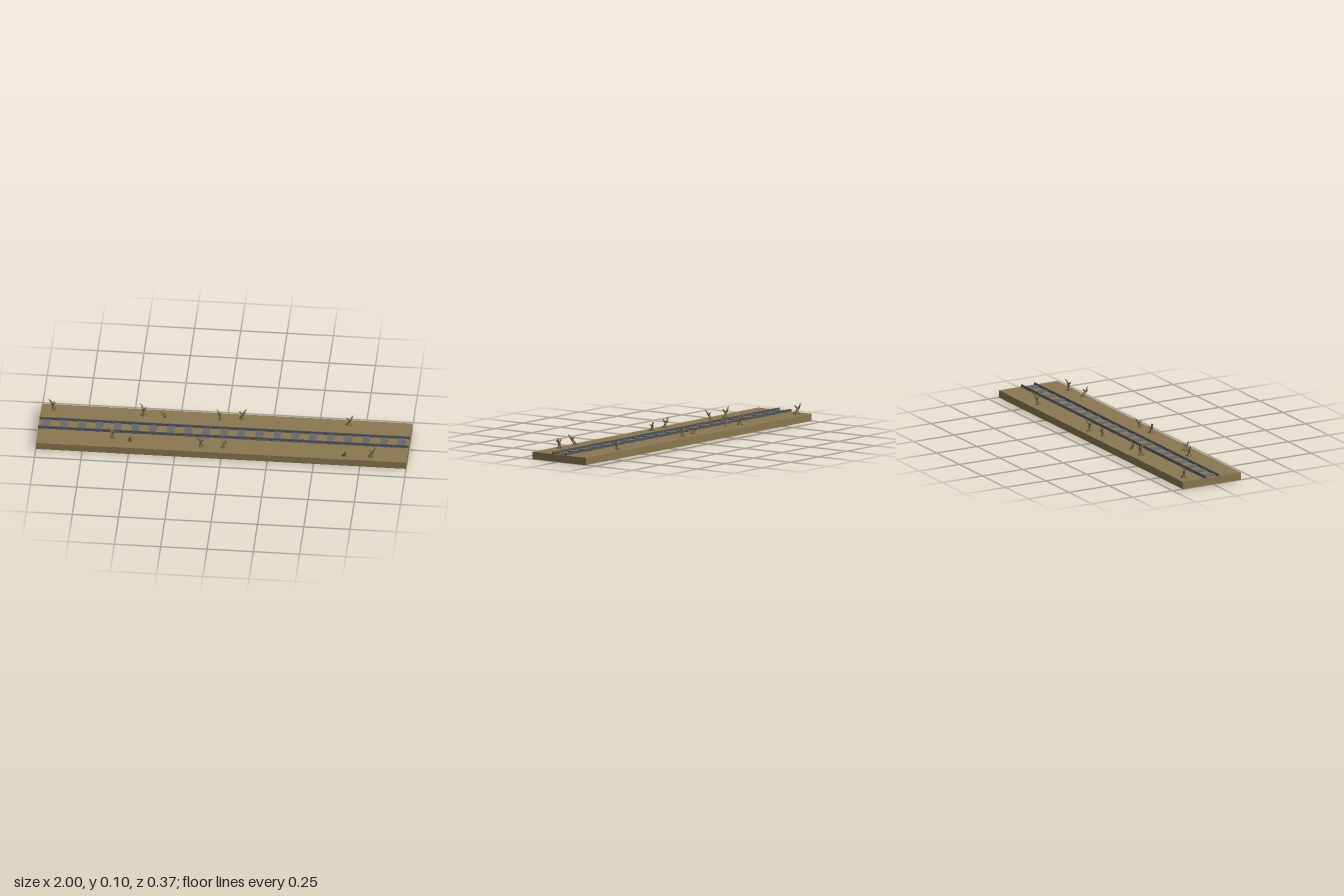
import * as THREE from 'three';

const mat = (color) => new THREE.MeshStandardMaterial({ color, flatShading: true, side: THREE.DoubleSide });
const earth = mat(0x8b7750), steel = mat(0x4c5258), tieGrey = mat(0x66686c), wood = mat(0x7c6a48);

function box(name, w, h, d, x, y, z, material) {
  const m = new THREE.Mesh(new THREE.BoxGeometry(w, h, d), material);
  m.name = name;
  m.position.set(x, y, z);
  return m;
}

// A bent limb whose radius follows a list of values along its path
function limb(name, points, radii) {
  const curve = new THREE.CatmullRomCurve3(points.map((p) => new THREE.Vector3(...p)));
  const rings = 8, sides = 6;
  const geo = new THREE.TubeGeometry(curve, rings, 1, sides);
  const pos = geo.attributes.position, v = new THREE.Vector3();
  for (let i = 0; i < pos.count; i++) {
    const t = Math.floor(i / (sides + 1)) / rings;
    const f = t * (radii.length - 1), k = Math.min(Math.floor(f), radii.length - 2);
    const r = THREE.MathUtils.lerp(radii[k], radii[k + 1], f - k);
    const c = curve.getPointAt(t);
    v.fromBufferAttribute(pos, i).sub(c).multiplyScalar(r).add(c);
    pos.setXYZ(i, v.x, v.y, v.z);
  }
  geo.computeVertexNormals();
  const m = new THREE.Mesh(geo, wood);
  m.name = name;
  return m;
}

// Dead tree of unit height: flared trunk, roots and a crooked fork
function deadTree(lean) {
  const g = new THREE.Group();
  g.add(limb('trunk', [[0, 0, 0], [lean * 0.15, 0.25, 0.02], [lean * 0.4, 0.55, 0]], [0.22, 0.14, 0.11, 0.1]));
  const f = lean * 0.4;
  g.add(limb('longBranch', [[f, 0.48, 0], [f + 0.16, 0.68, 0.04], [f + 0.24, 0.87, 0], [f + 0.4, 0.98, -0.03]], [0.1, 0.09, 0.07, 0.03]));
  g.add(limb('shortBranch', [[f, 0.48, 0], [f - 0.12, 0.66, -0.06], [f - 0.3, 0.82, -0.04]], [0.1, 0.08, 0.04]));
  g.add(limb('sideBranch', [[f, 0.45, 0], [f + 0.04, 0.58, 0.18], [f, 0.72, 0.3]], [0.08, 0.06, 0.03]));
  for (let i = 0; i < 4; i++) {
    const a = i * Math.PI / 2 + 0.5, c = Math.cos(a), s = Math.sin(a);
    g.add(limb('root', [[c * 0.05, 0.26, s * 0.05], [c * 0.18, 0.09, s * 0.18], [c * 0.33, 0, s * 0.33]], [0.08, 0.08, 0.03]));
  }
  return g;
}

export function createModel() {
  const model = new THREE.Group();
  const ground = 0.04, trackZ = -0.007;

  model.add(box('groundSlab', 2, ground, 0.36, 0, ground / 2, -0.007, earth));

  // Track: crossties below two rails with a foot and a head
  const track = new THREE.Group();
  track.name = 'track';
  for (let i = 0; i < 21; i++) {
    track.add(box('crosstie', 0.04, 0.005, 0.098, -0.96 + i * 0.096, ground + 0.0022, trackZ, tieGrey));
  }
  for (const side of [-1, 1]) {
    const z = trackZ + side * 0.0405;
    track.add(box('railFoot', 2, 0.004, 0.013, 0, ground + 0.003, z, steel));
    track.add(box('railHead', 2, 0.009, 0.007, 0, ground + 0.008, z, steel));
  }
  model.add(track);

  // Dead trees: x, z, height, turn, lean
  const trees = [
    [-0.93, -0.14, 0.06, 2.8, 0.3], [-0.445, -0.13, 0.064, 2.3, 0.1],
    [-0.325, -0.12, 0.042, 3.3, 0.7], [-0.03, -0.13, 0.053, 2.4, 0.4],
    [0.085, -0.145, 0.06, 0.3, 0.1], [0.66, -0.14, 0.057, 0.4, 0.3],
    [-0.592, 0.085, 0.06, 2.9, 0.1], [-0.495, 0.11, 0.05, -1.4, 0.6],
    [-0.11, 0.125, 0.059, 2.9, 0.2], [0.007, 0.122, 0.052, 0.9, 0.4],
    [0.665, 0.142, 0.054, -1.3, 0.8], [0.807, 0.137, 0.06, 0.2, 0.2],
  ];
  for (const [x, z, h, turn, lean] of trees) {
    const t = deadTree(lean);
    t.name = 'deadTree';
    t.position.set(x, ground, z);
    t.rotation.y = turn;
    t.scale.setScalar(h);
    model.add(t);
  }
  return model;
}
